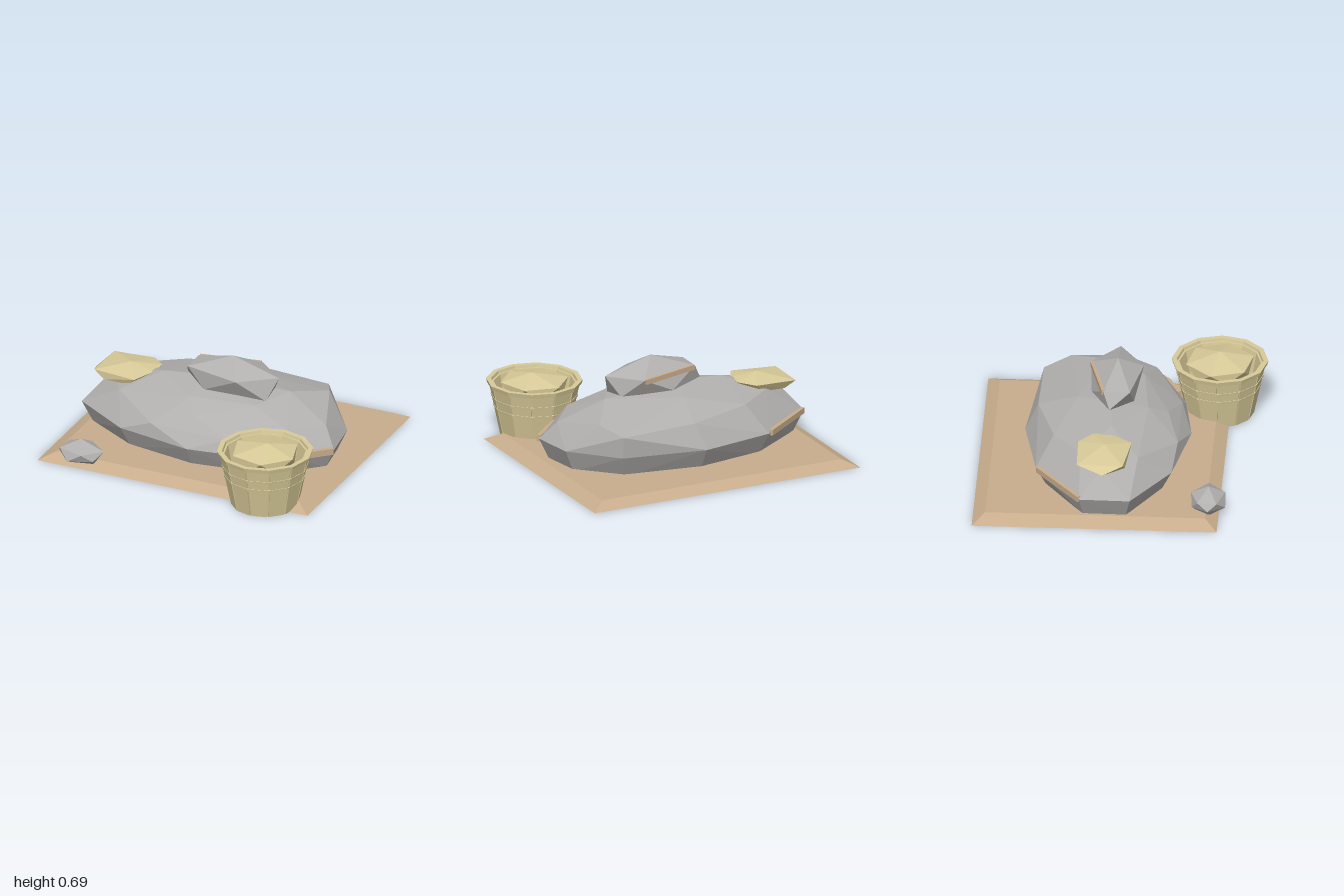
import * as THREE from 'three';
import { ConvexGeometry } from 'three/addons/geometries/ConvexGeometry.js';

const mat = (name, color, extra = {}) => {
  const m = new THREE.MeshStandardMaterial({ color, flatShading: true, ...extra });
  m.name = name;
  return m;
};

export function createModel() {
  const group = new THREE.Group();
  const sand = mat('sand', 0xc8ad8c);
  const stone = mat('stone', 0xb2b0ae);
  const straw = mat('straw', 0xd8ca98);
  const strawOpen = mat('strawOpen', 0xd8ca98, { side: THREE.DoubleSide });

  const add = (name, geometry, material, parent = group) => {
    const mesh = new THREE.Mesh(geometry, material);
    mesh.name = name;
    parent.add(mesh);
    return mesh;
  };
  // Faceted solid around a few corner points
  const hull = (name, points, material, parent) =>
    add(name, new ConvexGeometry(points.map((p) => new THREE.Vector3(...p))), material, parent);

  // Base slab with bevelled sides
  const rect = (x, z0, z1, y) => [[-x, y, z0], [x, y, z0], [x, y, z1], [-x, y, z1]];
  hull('base', [...rect(1, -0.96, 0.69, 0), ...rect(0.9, -0.875, 0.607, 0.05)], sand);

  // Large boulder: widest ring, its tucked-in foot, then shoulder and crown
  const girth = [
    [0, -0.655], [-0.52, -0.555], [-0.94, -0.24], [-0.945, 0.1], [-0.54, 0.36],
    [0, 0.465], [0.42, 0.405], [0.7, 0.27], [0.905, 0.06], [0.86, -0.25], [0.58, -0.55],
  ];
  const foot = girth.map(([x, z]) => [x * 0.92, 0.03, (z + 0.095) * 0.84 - 0.095]);
  hull('boulder', [
    ...girth.map(([x, z]) => [x, 0.19, z]), ...foot,
    [-0.81, 0.36, -0.1], [-0.65, 0.36, 0.14], [-0.3, 0.29, 0.39], [-0.02, 0.365, 0.31],
    [0.26, 0.28, 0.39], [0.62, 0.34, 0.2], [0.81, 0.32, -0.02], [0.67, 0.39, -0.38],
    [0.58, 0.34, -0.56], [0.05, 0.36, -0.57], [-0.4, 0.38, -0.44], [-0.65, 0.39, -0.25],
    [-0.41, 0.465, -0.05], [-0.12, 0.49, -0.07], [0.5, 0.465, -0.12], [0, 0.455, -0.3],
    [-0.1, 0.44, 0.18], [0.35, 0.44, 0.13],
  ], stone);

  // Stone resting on top
  hull('topStone', [
    [0.115, 0.692, -0.035],
    [0.455, 0.592, -0.035], [0.21, 0.585, 0.133], [-0.18, 0.595, 0.06],
    [-0.18, 0.595, -0.12], [0.25, 0.585, -0.222],
    [-0.24, 0.49, -0.075], [-0.05, 0.455, 0.08], [0.395, 0.445, 0.05],
    [0.38, 0.46, -0.13], [0.03, 0.48, -0.21],
  ], stone);

  // Small stone on the front corner
  hull('smallStone', [
    [-0.71, 0.19, 0.62],
    [-0.545, 0.125, 0.615], [-0.66, 0.12, 0.73], [-0.84, 0.125, 0.68],
    [-0.83, 0.125, 0.55], [-0.68, 0.125, 0.5],
    [-0.87, 0.08, 0.62], [-0.76, 0.06, 0.735], [-0.59, 0.07, 0.69],
    [-0.6, 0.06, 0.55], [-0.77, 0.06, 0.51],
    [-0.82, 0.025, 0.62], [-0.72, 0.013, 0.6], [-0.61, 0.025, 0.63],
  ], stone);

  // Straw-coloured clump on the boulder's shoulder
  hull('clump', [
    [-0.66, 0.465, -0.085],
    [-0.475, 0.44, -0.17], [-0.48, 0.44, -0.05], [-0.56, 0.425, 0.095],
    [-0.875, 0.42, 0.05], [-0.87, 0.42, -0.26], [-0.57, 0.43, -0.265],
    [-0.925, 0.372, -0.085], [-0.8, 0.365, 0.06], [-0.62, 0.37, 0.07],
    [-0.52, 0.38, -0.1], [-0.62, 0.37, -0.23], [-0.8, 0.365, -0.23],
  ], straw);

  // Thin sandy ledges along stone edges
  const ledge = (name, a, b, height) => {
    const from = new THREE.Vector3(...a), to = new THREE.Vector3(...b);
    const strip = add(name, new THREE.BoxGeometry(0.03, height, from.distanceTo(to)), sand);
    strip.position.copy(from).lerp(to, 0.5);
    strip.lookAt(to);
  };
  ledge('backLedge', [-0.93, 0.19, -0.24], [-0.54, 0.19, -0.54], 0.04);
  ledge('sideLedge', [0.9, 0.188, 0.07], [0.69, 0.188, 0.27], 0.045);
  ledge('sideLedge', [0.69, 0.188, 0.27], [0.53, 0.188, 0.355], 0.045);
  ledge('topLedge', [-0.17, 0.585, -0.117], [0.24, 0.575, -0.215], 0.035);

  // Bucket: twelve-sided shell, staves, hoops and rim
  const bucket = new THREE.Group();
  bucket.name = 'bucket';
  bucket.position.set(0.655, 0, 0.62);
  group.add(bucket);
  const SIDES = 12;
  const lathe = (name, profile) => add(name,
    new THREE.LatheGeometry(profile.map((p) => new THREE.Vector2(...p)), SIDES), strawOpen, bucket);
  lathe('bucketShell', [[0, 0.002], [0.22, 0.002], [0.298, 0.375], [0.275, 0.375], [0.225, 0.12], [0, 0.12]]);
  lathe('bucketRim', [[0.3, 0.36], [0.318, 0.365], [0.326, 0.395], [0.292, 0.395], [0.284, 0.36]]);
  for (const y of [0.2, 0.27]) {
    const r = 0.234 + y * 0.209;
    lathe('bucketHoop', [[r - 0.01, y], [r, y + 0.002], [r + 0.004, y + 0.02], [r - 0.006, y + 0.022]]);
  }
  const bottom = 0.23, top = 0.306, step = (2 * Math.PI) / SIDES;
  for (let i = 0; i < SIDES; i++) {
    const corners = [];
    for (const [r, y] of [[bottom, 0], [bottom - 0.02, 0], [top, 0.37], [top - 0.02, 0.37]])
      for (const edge of [0.04, 0.96]) {
        const a = (i + edge) * step;
        corners.push([r * Math.sin(a), y, r * Math.cos(a)]);
      }
    hull('bucketStave', corners, straw, bucket);
  }

  // Heaped contents: low faceted mound
  const mound = [[0.02, 0.445, 0]];
  for (let i = 0; i < 6; i++) {
    const a = (i * Math.PI) / 3 + 0.3;
    mound.push([0.235 * Math.sin(a), 0.39, 0.235 * Math.cos(a)]);
    mound.push([0.2 * Math.sin(a + 0.5), 0.31, 0.2 * Math.cos(a + 0.5)]);
  }
  hull('bucketContents', mound, straw, bucket);

  return group;
}
